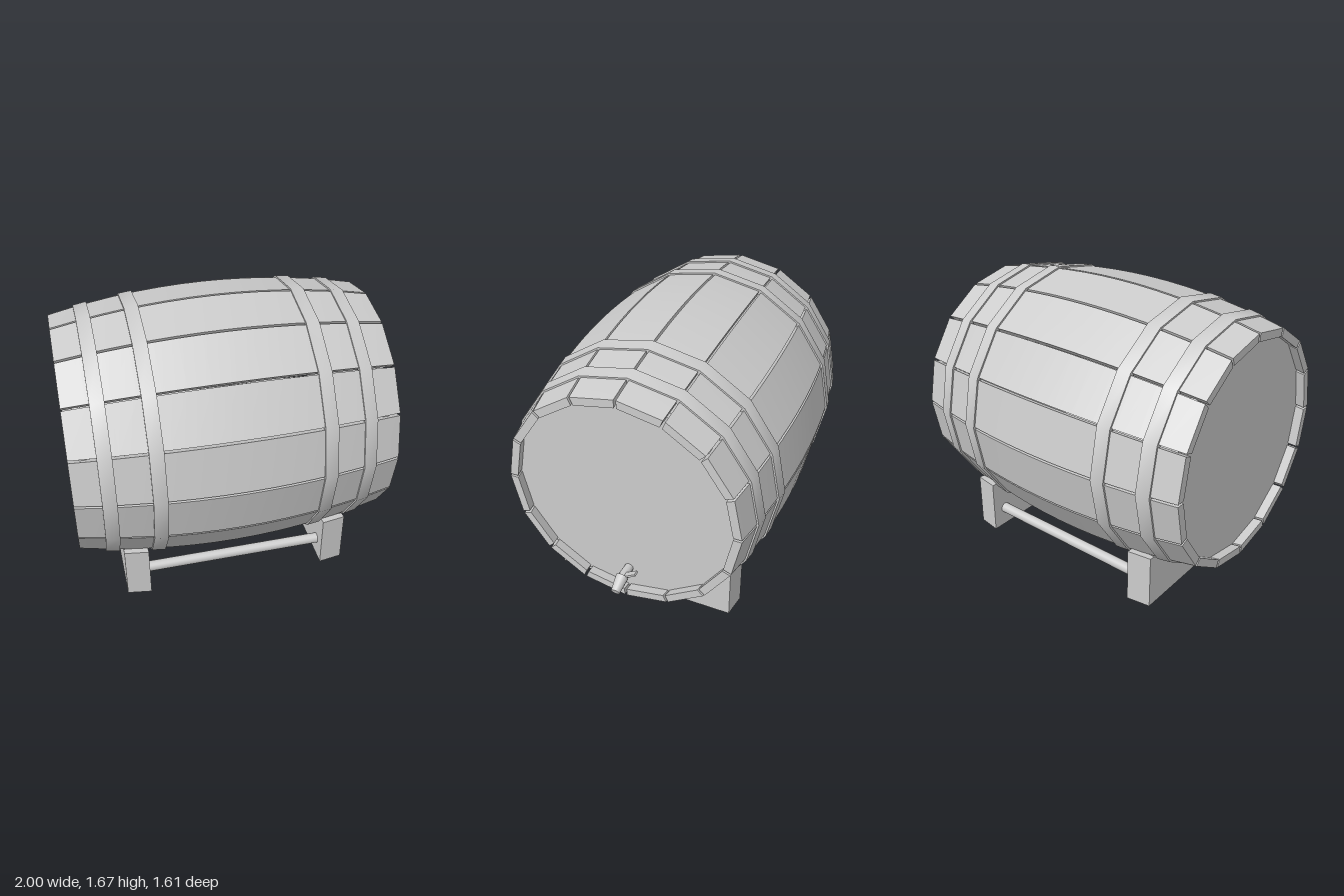
import * as THREE from 'three';
import { toCreasedNormals } from 'three/addons/utils/BufferGeometryUtils.js';

const SIDES = 16, STEP = Math.PI * 2 / SIDES;
const X0 = -1, X1 = 0.863, MID = (X0 + X1) / 2, AXIS_Y = 0.865;

// Bulging outer radius of the barrel along its length
const radiusAt = x => 0.805 - 0.1 * ((x - MID) / (X1 - MID)) ** 2;

export function createModel() {
  const model = new THREE.Group();
  model.name = 'barrelOnStand';
  const grey = new THREE.MeshStandardMaterial({ color: 0xcccccc });
  grey.name = 'plainGrey';

  const add = (name, geometry, parent = model) => {
    const mesh = new THREE.Mesh(geometry, grey);
    mesh.name = name;
    parent.add(mesh);
    return mesh;
  };

  // Cylinder between two points
  const rod = (name, a, b, ra, rb, sides) => {
    const dir = b.clone().sub(a);
    const mesh = add(name, new THREE.CylinderGeometry(rb, ra, dir.length(), sides));
    mesh.position.copy(a).add(b).multiplyScalar(0.5);
    mesh.quaternion.setFromUnitVectors(new THREE.Vector3(0, 1, 0), dir.normalize());
    return mesh;
  };

  const barrel = new THREE.Group();
  barrel.name = 'barrel';
  barrel.position.y = AXIS_Y;
  model.add(barrel);

  // Staves: boxes bent to the bulge, with a narrow gap at each joint
  const thickness = 0.05, halfGap = 0.007;
  for (let i = 0; i < SIDES; i++) {
    const g = new THREE.BoxGeometry(X1 - X0, 1, 1, 14, 1, 1);
    const p = g.attributes.position;
    for (let k = 0; k < p.count; k++) {
      const x = p.getX(k) + MID;
      const r = radiusAt(x) - (p.getY(k) < 0 ? thickness : 0);
      const side = Math.sign(p.getZ(k));
      const a = (i + 0.5) * STEP + side * (STEP / 2 - halfGap / r);
      p.setXYZ(k, x, r * Math.cos(a), r * Math.sin(a));
    }
    g.computeVertexNormals();
    add('stave', g, barrel);
  }

  // Hoops following the slope of the staves
  for (const [a, b] of [[-0.85, -0.77], [-0.58, -0.5], [0.39, 0.47], [0.635, 0.712]]) {
    const ra = radiusAt(a), rb = radiusAt(b), lift = 0.011;
    const profile = [[ra - 0.02, a], [ra + lift, a], [rb + lift, b], [rb - 0.02, b]]
      .map(([r, x]) => new THREE.Vector2(r, x));
    const g = new THREE.LatheGeometry(profile, SIDES);
    g.rotateZ(-Math.PI / 2);
    add('hoop', toCreasedNormals(g, 0.6), barrel);
  }

  // Recessed heads at both ends
  for (const x of [X0 + 0.08, X1 - 0.08]) {
    const g = new THREE.CylinderGeometry(0.685, 0.685, 0.04, SIDES);
    g.rotateZ(-Math.PI / 2);
    add('head', g, barrel).position.x = x;
  }

  // Cradles: blocks hollowed to the barrel, slightly narrower on the outer face
  const cutRadius = 0.757, halfWidth = 0.595, top = 0.335;
  const shape = new THREE.Shape();
  shape.moveTo(-halfWidth, 0);
  shape.lineTo(halfWidth, 0);
  shape.lineTo(halfWidth, top);
  for (let i = 2; i >= -2; i--) {
    shape.lineTo(cutRadius * Math.sin(i * STEP), AXIS_Y - cutRadius * Math.cos(i * STEP));
  }
  shape.lineTo(-halfWidth, top);
  for (const [a, b] of [[-0.748, -0.605], [0.483, 0.626]]) {
    const g = new THREE.ExtrudeGeometry(shape, { depth: b - a, bevelEnabled: false });
    g.rotateY(Math.PI / 2);
    g.translate(a, 0, 0);
    const p = g.attributes.position, outer = a < 0 ? a : b;
    for (let k = 0; k < p.count; k++) {
      const z = p.getZ(k);
      if (Math.abs(p.getX(k) - outer) < 0.001 && Math.abs(z) > 0.57) p.setZ(k, Math.sign(z) * 0.573);
    }
    g.computeVertexNormals();
    add('cradle', g);
  }

  // Rails joining the cradles
  for (const z of [-0.5, 0.5]) {
    rod('rail', new THREE.Vector3(-0.65, 0.122, z), new THREE.Vector3(0.53, 0.122, z), 0.032, 0.032, 16);
  }

  // Tap: stem, drooping spout and tilted handle
  rod('tapStem', new THREE.Vector3(0.78, 0.338, 0), new THREE.Vector3(0.92, 0.338, 0), 0.026, 0.032, 14);
  rod('tapSpout', new THREE.Vector3(0.895, 0.347, 0), new THREE.Vector3(0.988, 0.31, 0), 0.038, 0.027, 14);
  const handle = add('tapHandle', new THREE.BoxGeometry(0.036, 0.11, 0.013));
  handle.position.set(0.888, 0.373, -0.042);
  handle.rotation.x = -1.02;

  return model;
}
